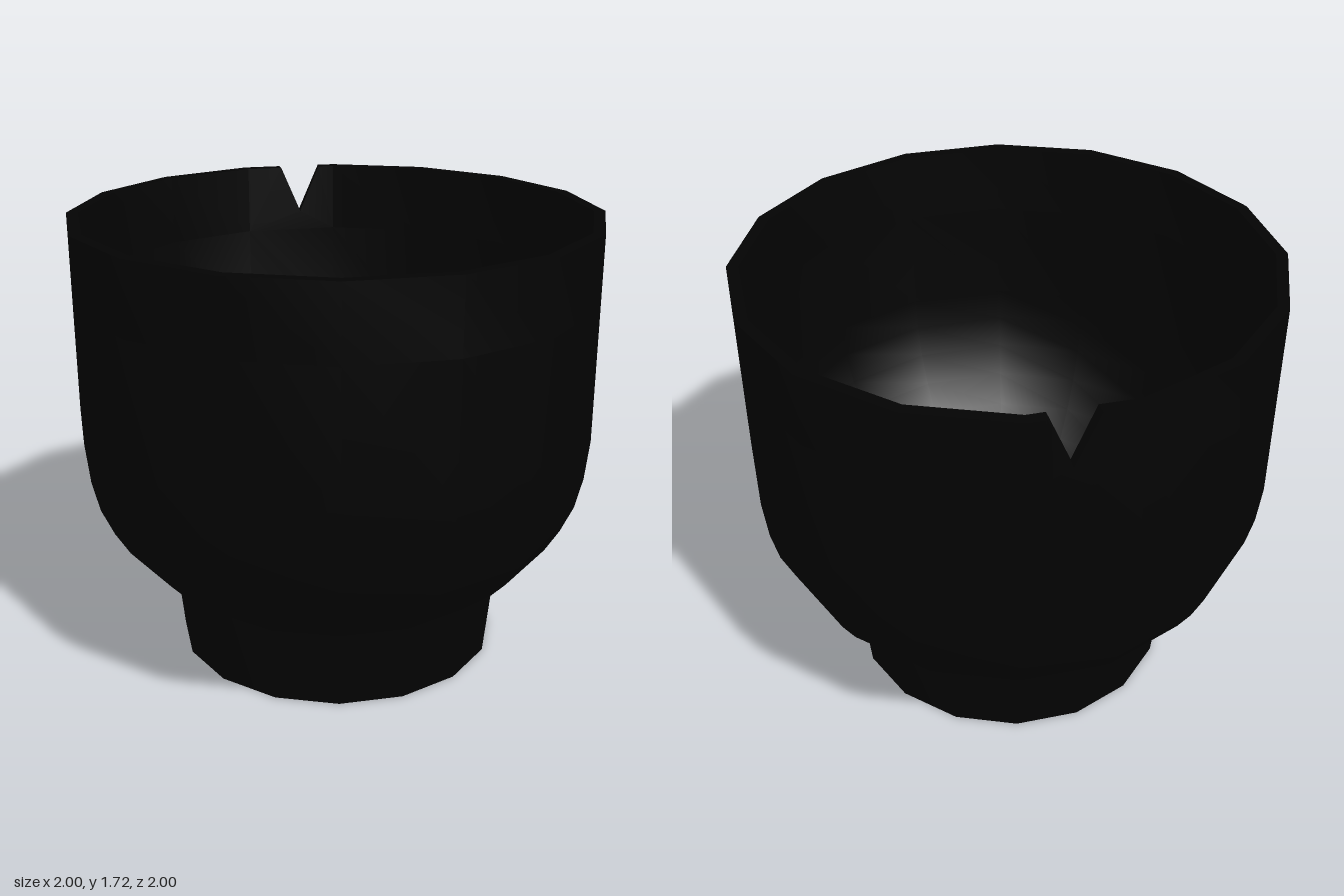
import * as THREE from 'three';
import { toCreasedNormals } from 'three/addons/utils/BufferGeometryUtils.js';

const SIDES = 16, STEP = (Math.PI * 2) / SIDES;
const OUTER = 1, INNER = 0.957, TOP = 1.722, SEAM = 1.45, HOLE = 0.02;
const FLOOR = 0.22, INNER_BOWL_Y = 1.05; // lowest point and upper end of the inner bowl curve
const NOTCH_PHI = 10 * STEP; // first corner of the notched wall panel

export function createModel() {
  const group = new THREE.Group();
  const material = new THREE.MeshStandardMaterial({ color: 0x030303 });

  const add = (name, geometry) => {
    const mesh = new THREE.Mesh(geometry, material);
    mesh.name = name;
    group.add(mesh);
  };
  const lathe = (points, sides = SIDES, start = 0) => toCreasedNormals(
    new THREE.LatheGeometry(points.map(([r, y]) => new THREE.Vector2(r, y)), sides, start, sides * STEP), 0.6);

  // Solid foot with a flat base and a small drain hole
  add('foot', lathe([[HOLE, FLOOR], [HOLE, 0], [0.627, 0], [0.658, 0.305]]));

  // Outside of the bowl
  add('bowlOutside', lathe([[0.658, 0.305], [0.787, 0.411], [0.853, 0.482], [0.908, 0.573],
    [0.956, 0.68], [0.984, 0.8], [OUTER, 0.953], [OUTER, SEAM]]));

  // Inside of the bowl: straight wall, then a quarter ellipse down to the drain hole
  const inside = [[INNER, SEAM]];
  const a0 = Math.asin(HOLE / INNER);
  for (let i = 0; i <= 10; i++) {
    const a = THREE.MathUtils.lerp(Math.PI / 2, a0, i / 10);
    inside.push([INNER * Math.sin(a), INNER_BOWL_Y - (INNER_BOWL_Y - FLOOR) * Math.cos(a)]);
  }
  add('bowlInside', lathe(inside));

  // Rim: every panel except the notched one
  add('rim', lathe([[OUTER, SEAM], [OUTER, TOP], [INNER, TOP], [INNER, SEAM]], SIDES - 1, NOTCH_PHI + STEP));

  // Notched panel: a flat outline bent onto the missing side of the wall
  const outline = [[0, SEAM], [1, SEAM], [1, TOP], [0.615, TOP], [0.395, 1.53], [0.175, TOP], [0, TOP]];
  const panel = new THREE.ExtrudeGeometry(
    new THREE.Shape(outline.map(([u, v]) => new THREE.Vector2(u, v))), { depth: 1, bevelEnabled: false });
  const pos = panel.attributes.position;
  const faceSide = Array.from({ length: pos.count }, (_, i) => Math.round(panel.attributes.normal.getZ(i)));
  const a = NOTCH_PHI, b = NOTCH_PHI + STEP;
  for (let i = 0; i < pos.count; i++) {
    const u = pos.getX(i), r = THREE.MathUtils.lerp(INNER, OUTER, pos.getZ(i));
    pos.setX(i, r * THREE.MathUtils.lerp(Math.sin(a), Math.sin(b), u));
    pos.setZ(i, r * THREE.MathUtils.lerp(Math.cos(a), Math.cos(b), u));
  }
  panel.computeVertexNormals();
  // Radial normals keep the panel smooth with its neighbours
  faceSide.forEach((s, i) => {
    if (!s) return;
    const d = Math.hypot(pos.getX(i), pos.getZ(i));
    panel.attributes.normal.setXYZ(i, (s * pos.getX(i)) / d, 0, (s * pos.getZ(i)) / d);
  });
  add('notchedRimPanel', panel);

  return group;
}
